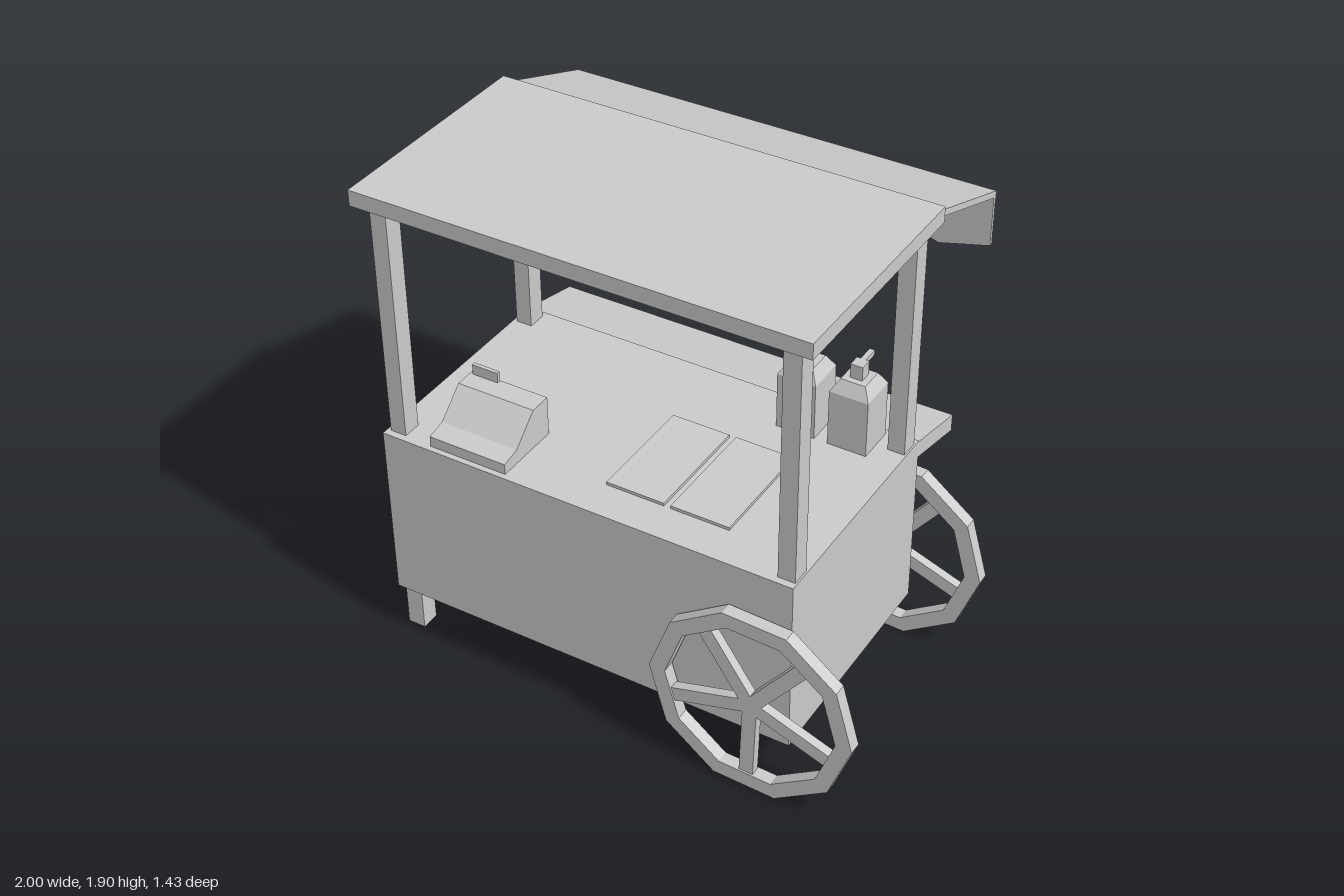
import * as THREE from 'three';

const material = new THREE.MeshStandardMaterial({ color: 0xcccccc, flatShading: true });

function add(parent, name, geometry) {
  const mesh = new THREE.Mesh(geometry, material);
  mesh.name = name;
  parent.add(mesh);
  return mesh;
}

// Box given by its limits on each axis
function box(parent, name, [x0, x1], [y0, y1], [z0, z1]) {
  const g = new THREE.BoxGeometry(x1 - x0, y1 - y0, z1 - z0);
  g.translate((x0 + x1) / 2, (y0 + y1) / 2, (z0 + z1) / 2);
  return add(parent, name, g);
}

// Side profile of [z, y] points, extruded along x
function profileAlongX(parent, name, points, [x0, x1]) {
  const shape = new THREE.Shape(points.map(([z, y]) => new THREE.Vector2(-z, y)));
  const g = new THREE.ExtrudeGeometry(shape, { depth: x1 - x0, bevelEnabled: false });
  g.rotateY(Math.PI / 2).translate(x0, 0, 0);
  return add(parent, name, g);
}

function polygon(radius, sides, turn) {
  return Array.from({ length: sides }, (_, i) => {
    const a = turn + (i / sides) * Math.PI * 2;
    return new THREE.Vector2(radius * Math.cos(a), radius * Math.sin(a));
  });
}

// Ten-sided rim with five spokes
function makeWheel() {
  const wheel = new THREE.Group();
  const depth = 0.05, turn = -0.04;
  const ring = new THREE.Shape(polygon(0.395, 10, turn));
  ring.holes.push(new THREE.Path(polygon(0.332, 10, turn)));
  const rim = new THREE.ExtrudeGeometry(ring, { depth, bevelEnabled: false });
  add(wheel, 'rim', rim.translate(0, 0, -depth / 2));
  for (let i = 0; i < 5; i++) {
    const spoke = new THREE.BoxGeometry(0.335, 0.055, 0.036);
    spoke.translate(0.1675, 0, 0).rotateZ(THREE.MathUtils.degToRad(52 + i * 72));
    add(wheel, 'spoke', spoke);
  }
  return wheel;
}

// Square pump bottle with sloped shoulders
function makeBottle() {
  const bottle = new THREE.Group();
  const h = 0.076;
  box(bottle, 'bottleBody', [-h, h], [0, 0.225], [-h, h]);
  const shoulder = new THREE.CylinderGeometry(0.048 * Math.SQRT2, h * Math.SQRT2, 0.048, 4);
  add(bottle, 'bottleShoulder', shoulder.rotateY(Math.PI / 4).translate(0, 0.249, 0));
  box(bottle, 'pumpNeck', [-0.024, 0.024], [0.273, 0.329], [-0.024, 0.024]);
  box(bottle, 'pumpSpout', [-0.01, 0.01], [0.308, 0.328], [-0.093, -0.02]);
  return bottle;
}

export function createModel() {
  const cart = new THREE.Group();
  cart.name = 'streetCart';

  const bodyX = [-0.92, 0.73];
  box(cart, 'body', bodyX, [0.22, 0.928], [-0.262, 0.657]);
  box(cart, 'roof', [-0.97, 0.77], [1.847, 1.908], [-0.254, 0.652]);

  // Posts and legs
  for (const z of [[0.556, 0.63], [-0.237, -0.161]]) {
    for (const x of [[-0.905, -0.84], [0.657, 0.723]]) box(cart, 'post', x, [0.925, 1.848], z);
    box(cart, 'leg', [-0.907, -0.836], [0.03, 0.212], z);
  }

  // Wheels
  for (const [name, z] of [['frontWheel', 0.69], ['backWheel', -0.31]]) {
    const wheel = makeWheel();
    wheel.name = name;
    wheel.position.set(0.603, 0.384, z);
    cart.add(wheel);
  }

  // Sloped serving shelf along the back
  profileAlongX(cart, 'servingShelf',
    [[-0.26, 0.925], [-0.543, 0.861], [-0.543, 0.792], [-0.26, 0.856]], bodyX);

  // Awning with hanging flaps
  profileAlongX(cart, 'awning',
    [[-0.252, 1.888], [-0.713, 1.723], [-0.713, 1.69], [-0.697, 1.69], [-0.697, 1.702], [-0.252, 1.862]],
    [-0.958, 0.755]);
  const flaps = [[-0.958, -0.617], [-0.579, -0.312], [-0.28, 0.035], [0.061, 0.387], [0.403, 0.755]];
  for (const [x0, x1] of flaps) {
    const shape = new THREE.Shape([
      new THREE.Vector2(x0, 1.7), new THREE.Vector2(x0, 1.508),
      new THREE.Vector2((x0 + x1) / 2 - 0.02, 1.458),
      new THREE.Vector2(x1, 1.508), new THREE.Vector2(x1, 1.7),
    ]);
    const g = new THREE.ExtrudeGeometry(shape, { depth: 0.015, bevelEnabled: false });
    add(cart, 'awningFlap', g.translate(0, 0, -0.711));
  }

  // Push handle on the end
  const handleY = [0.803, 0.828];
  box(cart, 'handleBar', [-1, -0.972], handleY, [-0.08, 0.5]);
  for (const z of [[-0.08, -0.052], [0.472, 0.5]]) box(cart, 'handleBracket', [-0.975, -0.915], handleY, z);

  // Cash register
  profileAlongX(cart, 'register',
    [[0.635, 0.925], [0.635, 0.97], [0.56, 0.985], [0.45, 1.085], [0.362, 1.085], [0.362, 0.925]],
    [-0.73, -0.414]);
  box(cart, 'registerDisplay', [-0.718, -0.611], [1.08, 1.126], [0.364, 0.379]);

  // Trays on the counter
  for (const x of [[-0.083, 0.147], [0.173, 0.403]]) box(cart, 'tray', x, [0.925, 0.94], [0.06, 0.505]);

  // Pump bottles
  for (const x of [0.33, 0.534]) {
    const bottle = makeBottle();
    bottle.name = 'pumpBottle';
    bottle.position.set(x, 0.928, -0.161);
    cart.add(bottle);
  }
  return cart;
}
